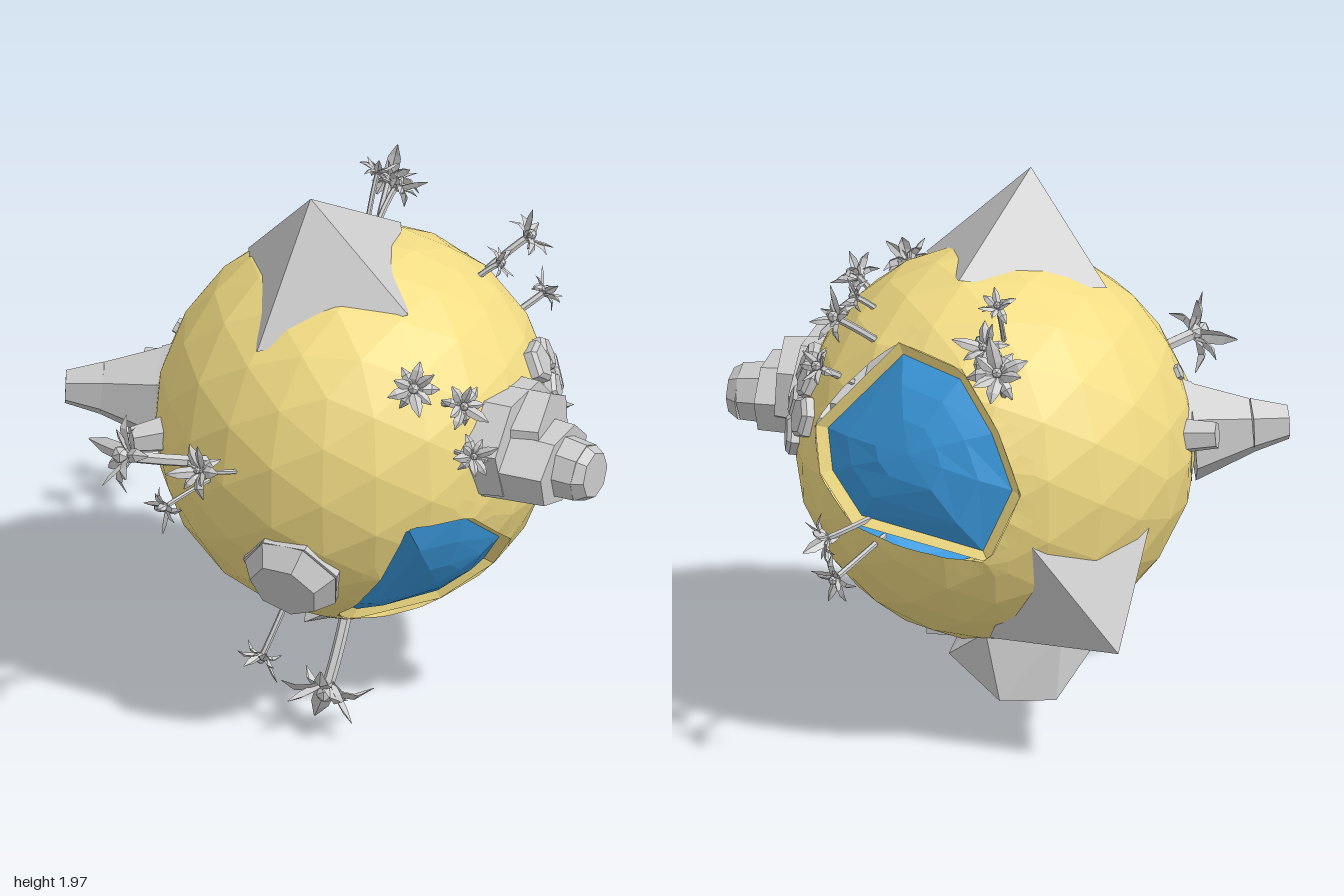
import * as THREE from 'three';
import { mergeGeometries } from 'three/addons/utils/BufferGeometryUtils.js';
import { ConvexGeometry } from 'three/addons/geometries/ConvexGeometry.js';

const V = (a) => new THREE.Vector3(...a);
const CENTRE = V([0.035, 1.03, 0]);
const R = 0.715;
const UP = new THREE.Vector3(0, 1, 0);
const mat = (color, side = THREE.FrontSide) =>
  new THREE.MeshStandardMaterial({ color, flatShading: true, side });
const grey = mat(0xcccccc);
const leafGrey = mat(0xcccccc, THREE.DoubleSide);
const sand = mat(0xf2dc84, THREE.DoubleSide);
const water = mat(0x3a98dc, THREE.DoubleSide);

function named(name, geometry, material) {
  const mesh = new THREE.Mesh(geometry, material);
  mesh.name = name;
  return mesh;
}

// Triangles from a flat list of points
function soup(points) {
  const g = new THREE.BufferGeometry().setFromPoints(points);
  g.computeVertexNormals();
  return g;
}

// Skin between closed rings with the same number of points
function loft(rings) {
  const out = [];
  for (let k = 0; k < rings.length - 1; k++) {
    const a = rings[k], b = rings[k + 1];
    a.forEach((p, i) => {
      const j = (i + 1) % a.length;
      out.push(p, b[i], b[j], p, b[j], a[j]);
    });
  }
  return soup(out);
}

// Lake outline as directions from the planet centre, with its slightly larger shore
function makeLake(corners) {
  const inner = corners.map((c) => V(c).normalize());
  const mid = inner.reduce((s, p) => s.add(p), V([0, 0, 0])).normalize();
  const ring = (t, r) => inner.map((p) => mid.clone().lerp(p, t).normalize().multiplyScalar(r));
  const shore = ring(1.1, 1);
  const planes = shore.map((p, i) => {
    const n = p.clone().cross(shore[(i + 1) % shore.length]).normalize();
    return n.dot(mid) < 0 ? n.negate() : n;
  });
  return { ring, planes };
}

// Signed distance inside the shore, with the nearest edge
function nearestEdge(p, lake) {
  let d = Infinity, n = null;
  for (const q of lake.planes) if (p.dot(q) < d) { d = p.dot(q); n = q; }
  return { d, n };
}

// Flat subdivision, so each facet keeps its plane
function split([a, b, c], depth) {
  if (depth === 0) return [[a, b, c]];
  const mid = (p, q) => p.clone().add(q).multiplyScalar(0.5);
  const ab = mid(a, b), bc = mid(b, c), ca = mid(c, a);
  return [[a, ab, ca], [ab, b, bc], [ca, bc, c], [ab, bc, ca]].flatMap((t) => split(t, depth - 1));
}

// Faceted planet with the lake areas cut out along their shores
function planetGeometry(lakes) {
  const pos = new THREE.IcosahedronGeometry(1, 3).attributes.position;
  const out = [];
  for (let i = 0; i < pos.count; i += 3) {
    const facet = [0, 1, 2].map((k) => new THREE.Vector3().fromBufferAttribute(pos, i + k));
    for (const small of split(facet, 2)) {
      const tri = small.map((v) => {
        const p = v.clone();
        for (const lake of lakes) {
          const { d, n } = nearestEdge(p, lake);
          if (Math.abs(d) < 0.05) p.addScaledVector(n, -d);
        }
        return p;
      });
      const open = lakes.some((l) => tri.every((p) => nearestEdge(p, l).d > -1e-4));
      if (!open) out.push(...tri.map((p) => p.multiplyScalar(R)));
    }
  }
  return soup(out);
}

// Tapered prism running from one point to another
function prism(from, to, r0, r1, sides, squash = 1, turn = 0) {
  const a = V(from), b = V(to);
  const dir = b.clone().sub(a);
  const g = new THREE.CylinderGeometry(r1, r0, dir.length(), sides);
  g.rotateY(turn);
  g.scale(1, 1, squash);
  // Local x lies level, local z runs up the slope
  const y = dir.normalize();
  const x = UP.clone().cross(y).normalize();
  const m = new THREE.Matrix4().makeBasis(x, y, x.clone().cross(y));
  g.applyMatrix4(m.setPosition(a.add(b).multiplyScalar(0.5)));
  return g;
}

// Folded, drooping frond of unit length along +x
function frondGeometry(droop) {
  const g = new THREE.PlaneGeometry(1, 1, 3, 2);
  const p = g.attributes.position;
  const widths = [0.08, 0.2, 0.18, 0.02];
  for (let i = 0; i < p.count; i++) {
    const t = p.getX(i) + 0.5, side = p.getY(i) * 2;
    const w = widths[Math.round(t * 3)];
    p.setXYZ(i, t * 0.9, 1.15 * t - droop * t * t - Math.abs(side) * w * 0.6, side * w);
  }
  return g;
}

// Palm with a slightly bent trunk and a crown of fronds
function palm([base, head, size, thick], index) {
  const g = new THREE.Group();
  g.name = 'palm';
  const a = V(base), b = V(head);
  const out = a.clone().sub(CENTRE).normalize();
  const bend = a.clone().lerp(b, 0.5).addScaledVector(out, 0.025);
  const root = a.clone().addScaledVector(out, -0.04);
  const curve = new THREE.QuadraticBezierCurve3(root, bend, b);
  g.add(named('trunk', new THREE.TubeGeometry(curve, 5, thick, 6), grey));
  const parts = [];
  const count = 9;
  for (let i = 0; i < count; i++) {
    const f = frondGeometry(0.4 + 0.45 * (i % 3));
    const s = size * (0.85 + 0.15 * (i % 2));
    f.scale(s, s, s);
    f.rotateY((i / count) * Math.PI * 2 + index);
    parts.push(f);
  }
  const crown = named('crown', mergeGeometries(parts), leafGrey);
  const aim = b.clone().sub(bend).normalize();
  crown.position.copy(b).addScaledVector(aim, -size * 0.25);
  crown.quaternion.setFromUnitVectors(UP, aim);
  g.add(crown, named('crownBase', new THREE.IcosahedronGeometry(thick * 1.6, 0).translate(b.x, b.y, b.z), grey));
  return g;
}

export function createModel() {
  const model = new THREE.Group();
  model.name = 'smallPlanet';

  // Planet with two sunken lakes
  const lakes = [
    [[.29, -.13, .59], [.46, -.13, .46], [.54, -.31, .22], [.47, -.46, .10],
      [.31, -.57, .14], [.07, -.58, .33], [.04, -.53, .41]],
    [[.33, .47, -.36], [.13, .43, -.50], [.02, .27, -.61], [-.05, .08, -.66],
      [.05, -.15, -.65], [.47, -.09, -.47], [.57, .03, -.35], [.585, .16, -.28]],
  ].map(makeLake);
  const planet = new THREE.Group();
  planet.name = 'planet';
  planet.position.copy(CENTRE);
  planet.add(named('ground', planetGeometry(lakes), sand));
  for (const { ring } of lakes) {
    planet.add(named('lake', loft([0, 0.35, 0.7, 1.03].map((t) => ring(t, 0.672))), water));
    planet.add(named('shore', loft([ring(1, 0.66), ring(1.1, R * 0.993)]), sand));
  }
  model.add(planet);

  // Pyramids
  const hull = (pts) => new ConvexGeometry(pts.map(V));
  model.add(named('topPyramid', hull([[-.09, 1.99, .21], [-.24, 1.5, .47], [.28, 1.62, .33],
    [.165, 1.72, -.2], [-.36, 1.64, -.07]]), grey));
  model.add(named('lowerPyramid',
    prism([-.23, .68, -.43], [-.40, .49, -.68], .36, 0, 4, 1, Math.PI / 4), grey));

  // Rocks under the planet
  model.add(named('bottomRock', hull([[-.18, .21, -.42], [.02, .21, -.43], [.02, .32, 0],
    [-.2, .29, -.05], [-.3, .33, -.2], [-.35, .42, -.28], [-.2, .45, -.39],
    [.07, .45, -.38], [.05, .42, 0], [-.3, .42, 0], [.2, .32, -.25], [.16, .31, 0]]), grey));
  model.add(named('bottomRock', hull([[.02, .28, .0], [.12, .3, .02], [.28, .31, -.04],
    [.28, .39, -.06], [.2, .4, .15], [.02, .38, .19], [-.12, .3, .17], [-.12, .4, .1]]), grey));

  // Boulder on the front
  model.add(named('frontBoulder', prism([-.05, .79, .44], [-.09, .70, .61], .19, .185, 7), grey));
  model.add(named('frontBoulder', prism([-.09, .70, .61], [-.11, .665, .675], .185, .13, 7), grey));

  // Tapering outcrop on the right side
  const spur = [[-.5, 1.07, -.01, .19], [-.66, 1.07, -.01, .145], [-.87, 1.085, .01, .08], [-1, 1.09, .03, .05]];
  for (let i = 0; i < 3; i++) {
    const a = spur[i], b = spur[i + 1];
    model.add(named('spurRock', prism(a.slice(0, 3), b.slice(0, 3), a[3], b[3], 6, 1.3), grey));
  }
  model.add(named('sideRock', prism([-.5, 1.1, -.13], [-.75, 1.12, -.17], .08, .05, 6), grey));
  model.add(named('sideRock', prism([-.5, 1.05, .2], [-.72, 1.03, .29], .09, .05, 6), grey));
  model.add(named('pebble', prism([-.52, 1.27, -.05], [-.62, 1.32, -.06], .035, .03, 5), grey));

  // Terraced outcrop on the left side
  [
    [[.45, 1.13, .22], [.70, 1.14, .29], .29, .27, 7, .75],
    [[.6, 1.15, .24], [.79, 1.16, .27], .2, .18, 6, .9],
    [[.6, 1.09, .29], [.84, 1.08, .35], .23, .21, 7, .65],
    [[.8, 1.08, .33], [.92, 1.07, .37], .12, .11, 8, 1],
    [[.92, 1.07, .37], [.96, 1.07, .385], .11, .085, 8, 1],
  ].forEach((s) => model.add(named('terraceRock', prism(...s), grey)));

  // Paving stones: height, z, radius
  [[1.31, .02, .08], [1.29, -.09, .066], [1.19, -.035, .066],
    [1.185, -.165, .08], [1.075, -.04, .078]].forEach(([y, z, r], i) => {
    const d = V([Math.sqrt(.49 - (y - 1.03) ** 2 - z * z), y - 1.03, z]).normalize();
    const at = (k) => d.clone().multiplyScalar(k).add(CENTRE).toArray();
    model.add(named('pavingStone', prism(at(.64), at(.73), r, r, 5 + (i % 2), 1, i), grey));
    model.add(named('pavingStone', prism(at(.73), at(.745), r, r * .8, 5 + (i % 2), 1, i), grey));
  });

  // Palms: base, head, frond length, trunk radius
  [
    [[-.38, 1.08, .54], [-.69, 1.17, .70], .16, .022],
    [[-.28, 1.08, .60], [-.40, 1.18, .80], .11, .009],
    [[-.38, 1.04, .55], [-.54, .97, .70], .09, .009],
    [[.30, 1.41, .50], [.35, 1.48, .63], .11, .014],
    [[.42, 1.35, .46], [.53, 1.42, .62], .1, .011],
    [[.47, 1.18, .50], [.57, 1.24, .65], .09, .009],
    [[.44, 1.57, -.10], [.54, 1.63, -.12], .08, .011],
    [[.57, 1.37, -.25], [.67, 1.44, -.31], .09, .013],
    [[.46, 1.53, -.27], [.61, 1.64, -.34], .11, .014],
    [[0, 1.43, -.57], [.03, 1.61, -.80], .13, .013],
    [[0, 1.50, -.51], [.08, 1.65, -.65], .11, .011],
    [[0, 1.58, -.43], [.03, 1.76, -.53], .08, .009],
    [[.50, .92, -.50], [.65, .86, -.52], .11, .012],
    [[.45, .86, -.53], [.61, .77, -.68], .1, .011],
    [[.06, .41, .31], [0, .16, .44], .18, .022],
    [[-.15, .47, .37], [-.23, .28, .45], .1, .011],
  ].forEach((p, i) => model.add(palm(p, i)));

  return model;
}
